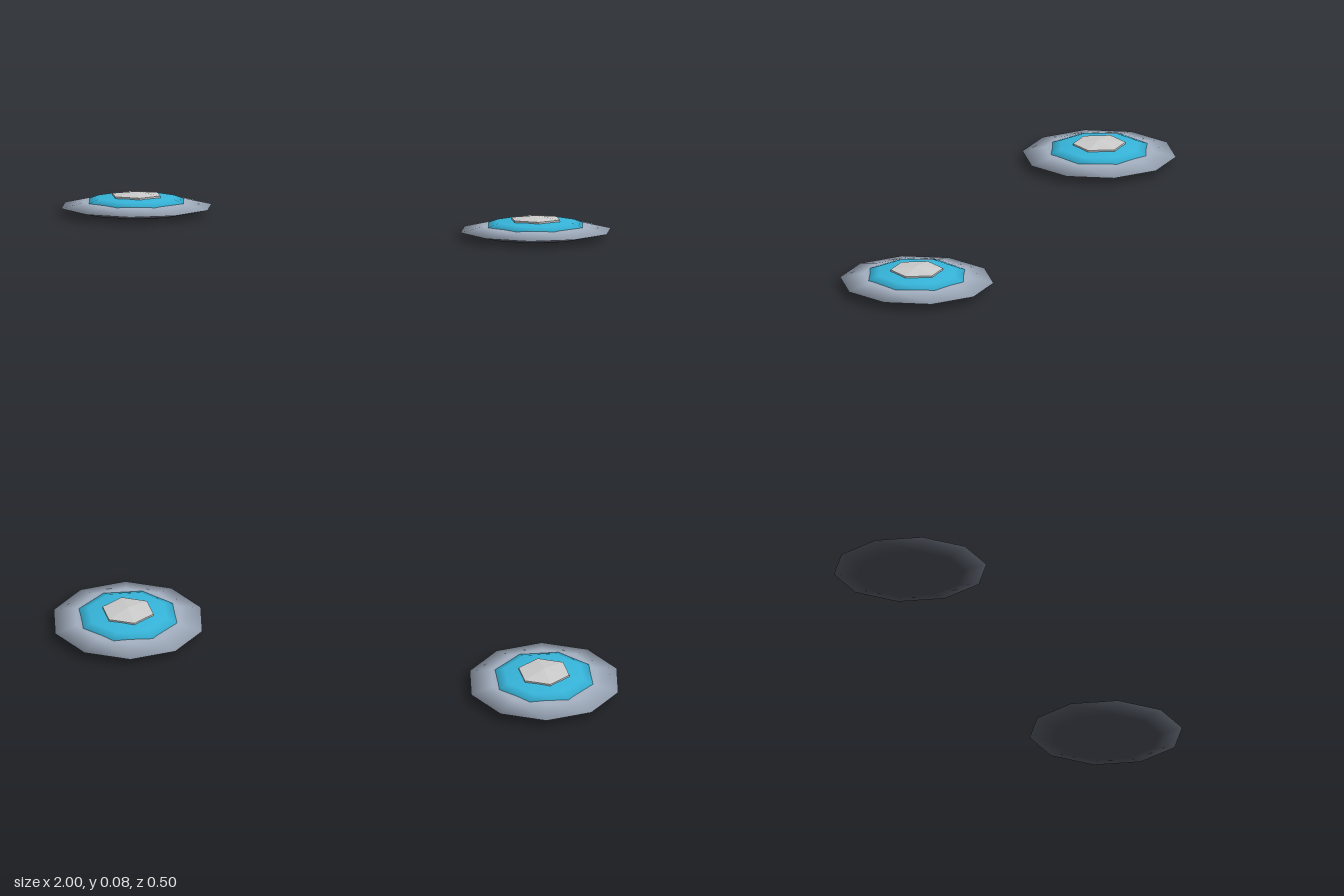
import * as THREE from 'three';

const paint = (color) => new THREE.MeshStandardMaterial({ color, side: THREE.DoubleSide });

// Squashed half sphere with few sides, upper or lower half
function halfShell(name, radius, height, sides, upper, y, material) {
  const start = upper ? 0 : Math.PI / 2;
  const geometry = new THREE.SphereGeometry(1, sides, 2, 0, Math.PI * 2, start, Math.PI / 2);
  geometry.scale(radius, height, radius);
  const mesh = new THREE.Mesh(geometry, material);
  mesh.name = name;
  mesh.position.y = y;
  return mesh;
}

// Six-sided drum or cone with corners on the x axis
function hexPart(name, topRadius, radius, height, y, material) {
  const geometry = new THREE.CylinderGeometry(topRadius, radius, height, 6);
  geometry.rotateY(Math.PI / 2);
  const mesh = new THREE.Mesh(geometry, material);
  mesh.name = name;
  mesh.position.y = y + height / 2;
  return mesh;
}

function createSaucer(name) {
  const saucer = new THREE.Group();
  saucer.name = name;
  const capMaterial = paint(0xd8d8d8);
  capMaterial.flatShading = true;
  saucer.add(
    halfShell('lowerHull', 0.263, 0.025, 10, false, 0.025, paint(0x4a4f58)),
    halfShell('upperHull', 0.263, 0.025, 10, true, 0.025, paint(0xa3afc0)),
    halfShell('dome', 0.198, 0.031, 8, true, 0.034, paint(0x36b5da)),
    hexPart('capRim', 0.09, 0.09, 0.007, 0.058, capMaterial),
    hexPart('capRoof', 0, 0.09, 0.011, 0.065, capMaterial)
  );
  return saucer;
}

export function createModel() {
  const model = new THREE.Group();
  model.name = 'saucerPair';
  // One saucer on each side
  for (const side of [-1, 1]) {
    const saucer = createSaucer(side > 0 ? 'leftSaucer' : 'rightSaucer');
    saucer.position.x = side * 0.737;
    model.add(saucer);
  }
  return model;
}
